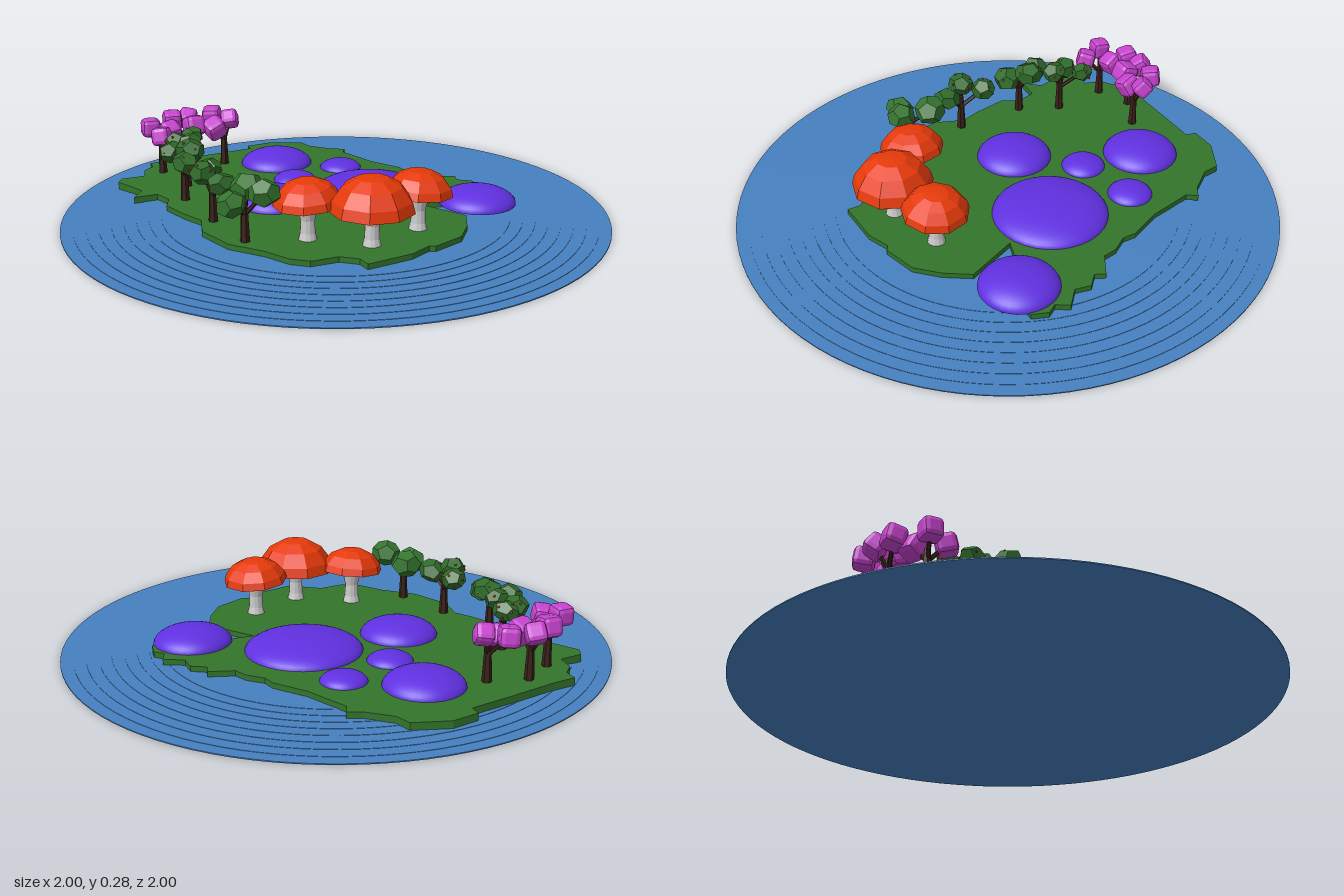
import * as THREE from 'three';
import { RoundedBoxGeometry } from 'three/addons/geometries/RoundedBoxGeometry.js';

const mat = (color, flatShading = true) => new THREE.MeshStandardMaterial({ color, flatShading });
const M = {
  water: mat(0x4680c0), grass: mat(0x33752b), hill: mat(0x6030e0, false),
  cap: mat(0xe63a0a), stem: mat(0xcccccc), bark: mat(0x3a2018),
  leaf: mat(0x2f6b2a), plainLeaf: mat(0x35752f), berry: mat(0xd02a10), blossom: mat(0xc743cf),
};
M.cap.side = THREE.DoubleSide;

// Repeatable pseudo-random numbers
let seed = 7;
const rnd = () => (seed = (seed * 16807) % 2147483647) / 2147483647;

function add(parent, name, geometry, material, x = 0, y = 0, z = 0) {
  const mesh = new THREE.Mesh(geometry, material);
  mesh.name = name;
  mesh.position.set(x, y, z);
  parent.add(mesh);
  return mesh;
}

function lathe(points, sides) {
  return new THREE.LatheGeometry(points.map(([r, y]) => new THREE.Vector2(r, y)), sides);
}

// Shallow stack of ever smaller discs
function makeWater() {
  const points = [[0, 0], [1, 0]];
  for (let i = 0; i < 9; i++) {
    const y = 0.004 + i * 0.0014, r = 1 - i * 0.045;
    points.push([r, y], [r - 0.045, y]);
  }
  points.push([0, 0.0152]);
  return lathe(points, 96);
}

// Ragged island outline as x, z pairs
const COAST = [
  [-.03, -.85], [.10, -.81], [.12, -.75], [.20, -.68], [.25, -.66], [.23, -.62], [.27, -.53], [.30, -.46],
  [.38, -.35], [.39, -.30], [.44, -.25], [.46, -.20], [.55, -.17], [.54, -.13], [.59, -.10], [.59, -.04],
  [.66, 0], [.64, .05], [.67, .08], [.66, .14], [.50, .17], [.40, .10], [.29, .09], [.41, .26],
  [.37, .36], [.31, .45], [.19, .51], [.17, .50], [.09, .55], [-.08, .59], [-.09, .54], [-.15, .50],
  [-.25, .51], [-.31, .47], [-.37, .38], [-.47, .28], [-.53, .13], [-.51, .02], [-.55, -.05], [-.60, -.17],
  [-.58, -.24], [-.61, -.31], [-.70, -.30], [-.66, -.37], [-.69, -.43], [-.73, -.50], [-.71, -.54], [-.62, -.55],
  [-.61, -.62], [-.57, -.66], [-.57, -.71], [-.48, -.72], [-.29, -.76], [-.13, -.79], [-.13, -.83],
];
function makeIsland() {
  const shape = new THREE.Shape(COAST.map(([x, z]) => new THREE.Vector2(x, -z)));
  return new THREE.ExtrudeGeometry(shape, { depth: 0.03, bevelEnabled: false }).rotateX(-Math.PI / 2);
}

// Faceted cap on a stem flared at both ends
function makeMushroom(x, z, r, rim, top, leanX, leanZ) {
  const g = new THREE.Group();
  g.name = 'mushroom';
  g.position.set(x, 0.03, z);
  add(g, 'mushroomStem', lathe([[.034, 0], [.027, .03], [.025, .075], [.034, .115], [.052, .14], [0, .15]], 12), M.stem);
  const h = top - rim;
  const cap = add(g, 'mushroomCap', lathe(
    [[0, h * .35], [r * .6, h * .2], [r, 0], [r * .93, h * .32], [r * .7, h * .72], [r * .37, h * .95], [0, h]], 9),
    M.cap, 0, rim - 0.03, 0);
  cap.rotation.set(leanX, 0.3, leanZ);
  return g;
}

// Angular rock-like leaf clump
function makeClump(r) {
  return new THREE.DodecahedronGeometry(r).scale(0.85 + rnd() * 0.3, 0.85, 0.85 + rnd() * 0.3);
}

// Trunk plus clumps [x, y, z, radius] in model coordinates
function makeTree(name, trunk, clumps, kind) {
  const g = new THREE.Group();
  g.name = name;
  add(g, 'trunk', new THREE.CylinderGeometry(.011, .018, .15, 6), M.bark, trunk[0], .1, trunk[1]);
  for (const [x, y, z, r] of clumps) {
    // Branch from the trunk to the clump
    const a = new THREE.Vector3(trunk[0], .13, trunk[1]), b = new THREE.Vector3(x, y, z);
    const path = new THREE.LineCurve3(a, b);
    add(g, 'branch', new THREE.TubeGeometry(path, 1, .008, 5), M.bark);
    const blossom = kind === 'blossom';
    const clump = add(g, blossom ? 'blossom' : 'leaves',
      blossom ? new RoundedBoxGeometry(r * 1.8, r * 1.8, r * 1.8, 1, r * .45) : makeClump(r),
      blossom ? M.blossom : kind === 'berry' ? M.leaf : M.plainLeaf, x, y, z);
    clump.rotation.set(rnd() - .5, rnd() * 3, rnd() - .5);
    if (kind !== 'berry') continue;
    // Berries spread round each clump on a spiral
    for (let i = 0; i < 7; i++) {
      const v = 0.8 - i * 0.22, s = Math.sqrt(1 - v * v), t = i * 2.4 + x * 20;
      add(g, 'berry', new THREE.IcosahedronGeometry(.005), M.berry,
        x + r * .86 * s * Math.cos(t), y + r * .75 * v, z + r * .86 * s * Math.sin(t));
    }
  }
  return g;
}

export function createModel() {
  seed = 7;
  const model = new THREE.Group();
  model.name = 'island';
  add(model, 'water', makeWater(), M.water);
  add(model, 'land', makeIsland(), M.grass, 0, .005, 0);

  // Flattened domes: x, z, radius, height
  for (const [x, z, r, h] of [
    [-.075, -.565, .143, .062], [.155, -.425, .083, .037], [-.065, -.325, .083, .037],
    [-.21, -.095, .143, .062], [.17, -.105, .213, .062], [.51, .13, .143, .062],
  ]) {
    const dome = add(model, 'hill', new THREE.SphereGeometry(1, 32, 12, 0, Math.PI * 2, 0, Math.PI / 2), M.hill, x, .031, z);
    dome.scale.set(r, h, r);
  }

  model.add(
    makeMushroom(-.01, .43, .148, .158, .278, 0, 0),
    makeMushroom(-.20, .31, .12, .165, .25, 0, .08),
    makeMushroom(.195, .33, .122, .165, .25, 0, -.08),

    makeTree('berryTree', [-.48, -.38], [[-.44, .21, -.46, .045], [-.51, .20, -.41, .05], [-.47, .215, -.35, .045]], 'berry'),
    makeTree('berryTree', [-.52, -.22], [[-.55, .20, -.30, .05], [-.49, .215, -.25, .052], [-.52, .19, -.17, .052]], 'berry'),
    makeTree('berryTree', [-.47, .04], [[-.46, .20, -.05, .05], [-.50, .215, .03, .052], [-.45, .19, .10, .05]], 'berry'),
    makeTree('leafyTree', [-.41, .27], [[-.46, .18, .29, .056], [-.38, .20, .19, .064], [-.35, .215, .31, .06]], 'plain'),

    makeTree('blossomTree', [-.54, -.58], [[-.58, .22, -.59, .04], [-.55, .20, -.52, .04], [-.50, .19, -.61, .042]], 'blossom'),
    makeTree('blossomTree', [-.42, -.66], [[-.48, .22, -.67, .042], [-.41, .215, -.70, .04], [-.40, .20, -.63, .045]], 'blossom'),
    makeTree('blossomTree', [-.28, -.62], [[-.31, .22, -.70, .041], [-.32, .19, -.61, .044], [-.25, .215, -.64, .038]], 'blossom'),
  );
  return model;
}
